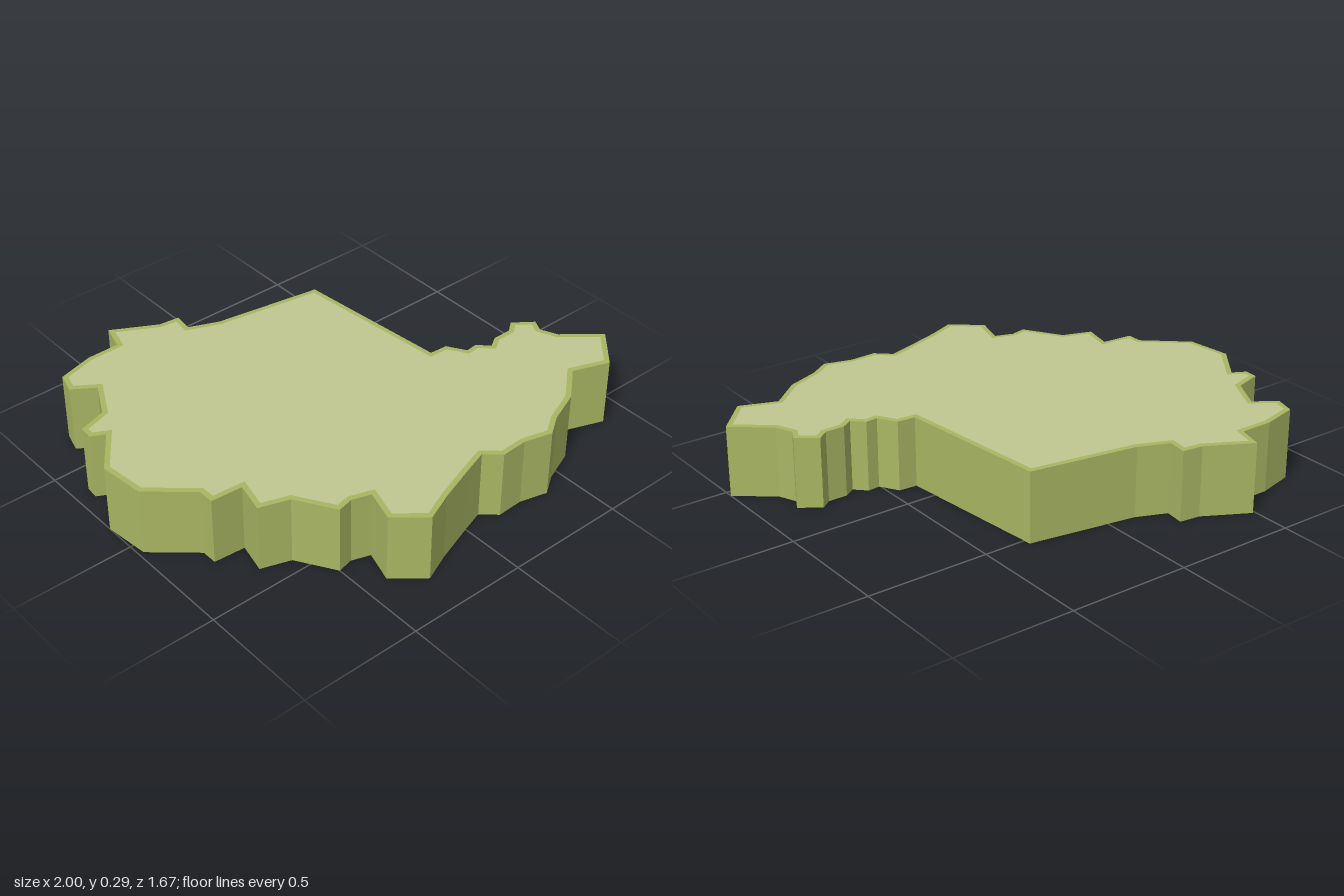
import * as THREE from 'three';

const HEIGHT = 0.29;
const RIM = 0.021;

// Border outline as [x, z], clockwise seen from above
const OUTLINE = [
  // north edge
  [-0.49, -0.84], [-0.31, -0.74], [-0.225, -0.73], [-0.235, -0.65], [-0.115, -0.6], [0.325, -0.53],
  // inner corner and north side of the eastern arm
  [0.385, 0.11], [0.46, 0.115], [0.505, 0.19], [0.555, 0.185], [0.6, 0.23], [0.645, 0.2],
  [0.725, 0.2], [0.77, 0.165], [0.85, 0.225], [0.825, 0.275], [0.855, 0.345], [1, 0.465],
  // south edge
  [0.87, 0.61], [0.72, 0.555], [0.595, 0.665], [0.46, 0.72], [0.38, 0.775], [0.265, 0.745],
  [0.155, 0.75], [0.095, 0.695], [-0.01, 0.73], [-0.165, 0.785], [-0.28, 0.835], [-0.4, 0.735],
  // south-west steps
  [-0.36, 0.605], [-0.435, 0.58], [-0.5, 0.595], [-0.595, 0.44], [-0.715, 0.4], [-0.685, 0.275],
  [-0.815, 0.265], [-0.815, 0.2], [-0.98, 0.055],
  // west edge
  [-1, -0.13], [-0.88, -0.29], [-0.935, -0.32], [-0.93, -0.375], [-0.815, -0.41], [-0.74, -0.55],
  [-0.83, -0.61], [-0.805, -0.695], [-0.655, -0.735], [-0.52, -0.735],
].map(([x, z]) => new THREE.Vector2(x, -z));

// Mitred inward offset of a clockwise loop
function inset(points, distance) {
  const n = points.length;
  const inward = (a, b) => {
    const d = b.clone().sub(a).normalize();
    return new THREE.Vector2(d.y, -d.x);
  };
  return points.map((p, i) => {
    const n1 = inward(points[(i + n - 1) % n], p);
    const n2 = inward(p, points[(i + 1) % n]);
    const scale = distance / (1 + n1.dot(n2));
    return p.clone().add(n1.add(n2).multiplyScalar(scale));
  });
}

export function createModel() {
  const group = new THREE.Group();
  group.name = 'mapPlate';

  // Solid slab with upright walls
  const slabGeometry = new THREE.ExtrudeGeometry(new THREE.Shape(OUTLINE), {
    depth: HEIGHT - 0.001, bevelEnabled: false,
  });
  slabGeometry.rotateX(-Math.PI / 2);
  const slab = new THREE.Mesh(slabGeometry,
    new THREE.MeshStandardMaterial({ color: 0xa9b663, flatShading: true }));
  slab.name = 'slab';
  group.add(slab);

  // Pale top surface, leaving a narrow rim of the slab showing
  const topGeometry = new THREE.ShapeGeometry(new THREE.Shape(inset(OUTLINE, RIM)));
  topGeometry.rotateX(-Math.PI / 2);
  const top = new THREE.Mesh(topGeometry,
    new THREE.MeshStandardMaterial({ color: 0xc0c892 }));
  top.name = 'topSurface';
  top.position.y = HEIGHT;
  group.add(top);

  return group;
}
